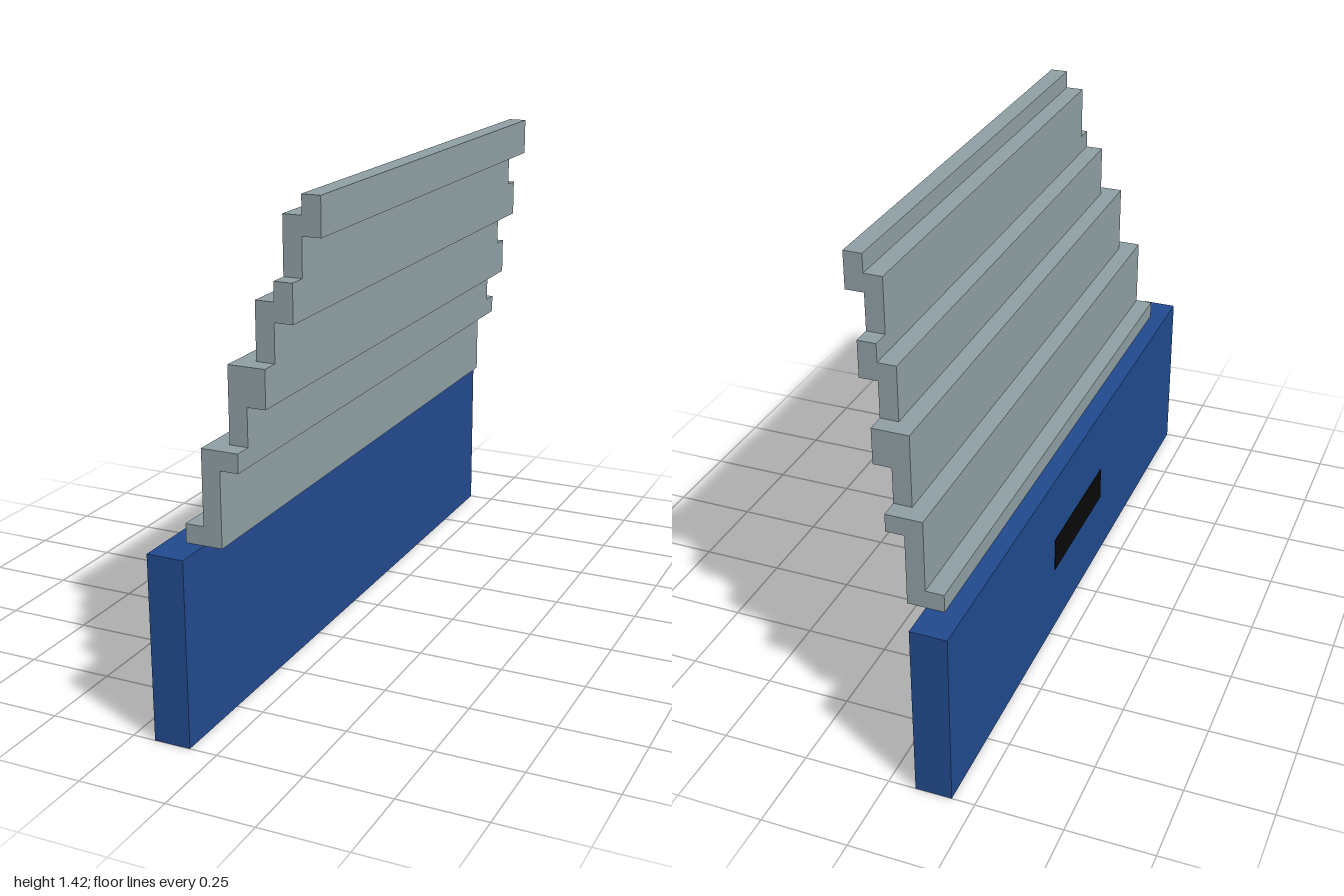
import * as THREE from 'three';

const U = 1 / 19; // modular unit: the base is 38 units long

export function createModel() {
  const group = new THREE.Group();
  const blue = new THREE.MeshStandardMaterial({ color: 0x21498c });
  blue.name = 'blue';
  const grey = new THREE.MeshStandardMaterial({ color: 0x8e9ea2 });
  grey.name = 'blueGrey';
  const black = new THREE.MeshStandardMaterial({ color: 0x080808 });
  black.name = 'black';

  const add = (name, geometry, material, x = 0, y = 0, z = 0) => {
    const mesh = new THREE.Mesh(geometry, material);
    mesh.name = name;
    mesh.position.set(x, y, z);
    group.add(mesh);
  };

  // Base wall
  add('baseWall', new THREE.BoxGeometry(2 * U, 10 * U, 38 * U), blue, -2.5 * U, 5 * U, 0);

  // Thin dark plate on the outer face of the base
  add('basePlate', new THREE.BoxGeometry(0.003, 2 * U, 8 * U), black, -3.5 * U - 0.0005, 5 * U, 0);

  // Stepped courses: half length and profile in units, x counted from the outer face
  const courses = [
    [17, [[1, 10], [3, 10], [3, 14], [4, 14], [4, 15], [2, 15], [2, 11], [1, 11]]],
    [16, [[3, 15], [4, 15], [4, 17], [5, 17], [5, 19], [3, 19]]],
    [15, [[4, 19], [5, 19], [5, 21], [6, 21], [6, 23], [5, 23], [5, 22], [4, 22]]],
    [14, [[5, 23], [6, 23], [6, 25], [7, 25], [7, 27], [6, 27], [6, 26], [5, 26]]],
  ];
  courses.forEach(([half, profile], i) => {
    const shape = new THREE.Shape(profile.map(([x, y]) => new THREE.Vector2((x - 3.5) * U, y * U)));
    const geometry = new THREE.ExtrudeGeometry(shape, { depth: 2 * half * U, bevelEnabled: false });
    add(`steppedCourse${i + 1}`, geometry, grey, 0, 0, -half * U);
  });

  return group;
}
